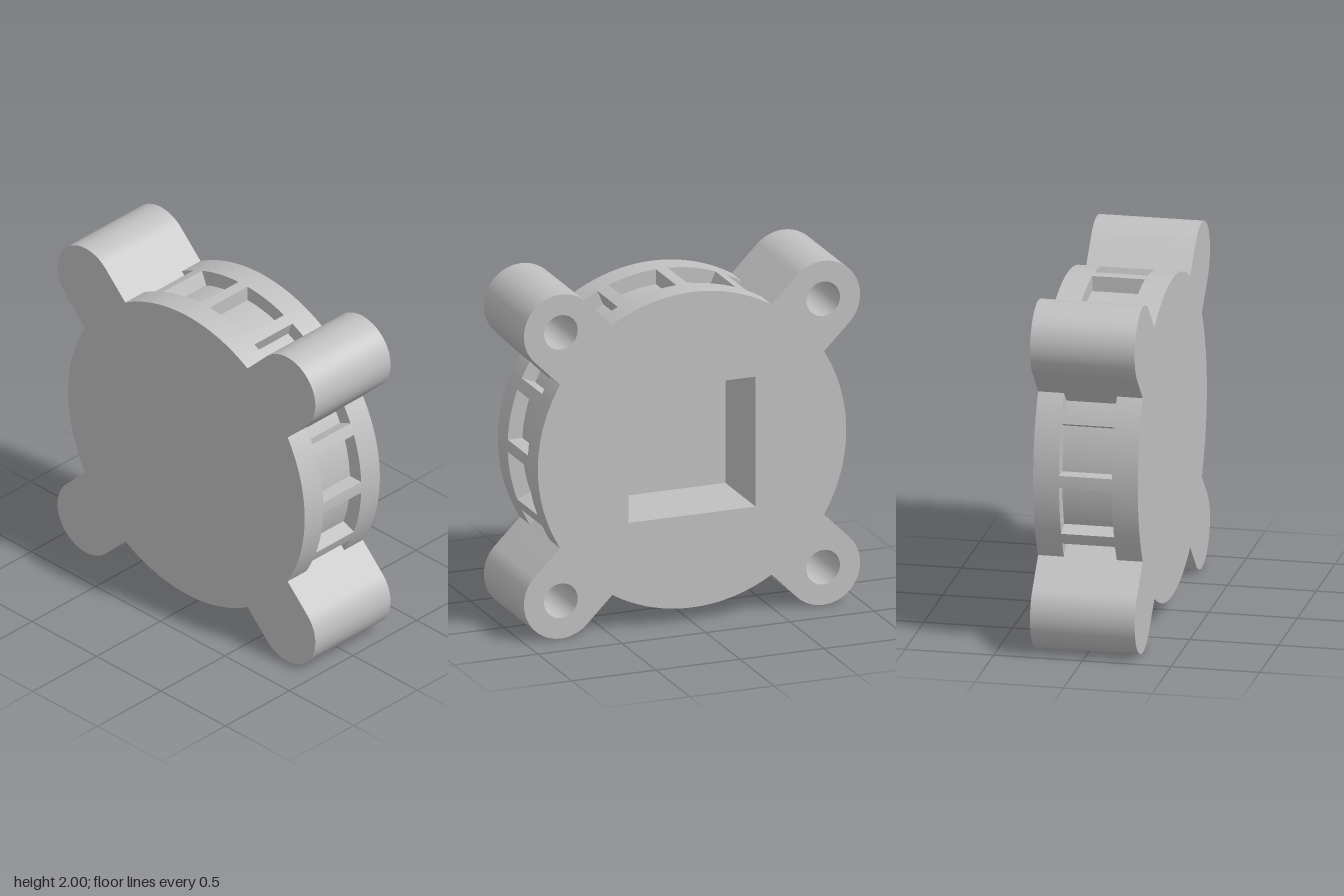
import * as THREE from 'three';
import { toCreasedNormals } from 'three/addons/utils/BufferGeometryUtils.js';

const R = 0.917;      // disc radius
const CORE = 0.83;    // radius of the pocket floors
const W = 0.22;       // arm half width and lobe radius
const LOBE = 0.78;    // lobe centre in x and y
const Z = 0.295;      // half thickness
const ZM = 0.149;     // half thickness of the ribbed middle layer
const HOLE = 0.1;
const POCKET = 0.378; // half side of the square recess

const polar = (r, a) => new THREE.Vector2(r * Math.cos(a), r * Math.sin(a));
function arc(r, a0, a1, n, cx = 0, cy = 0) {
  const pts = [];
  for (let i = 0; i <= n; i++) {
    pts.push(polar(r, a0 + (a1 - a0) * i / n).add(new THREE.Vector2(cx, cy)));
  }
  return pts;
}

// Wall swept along z; counter-clockwise points face outward
function wall(pts, z0, z1) {
  const v = [];
  for (let i = 0; i < pts.length - 1; i++) {
    const a = pts[i], b = pts[i + 1];
    v.push(a.x, a.y, z0, b.x, b.y, z0, b.x, b.y, z1);
    v.push(a.x, a.y, z0, b.x, b.y, z1, a.x, a.y, z1);
  }
  const g = new THREE.BufferGeometry();
  g.setAttribute('position', new THREE.Float32BufferAttribute(v, 3));
  return toCreasedNormals(g, 0.4);
}

// Flat face at height z, facing front or back
function face(pts, z, back = false, holes = []) {
  const shape = new THREE.Shape(pts);
  shape.holes = holes.map((h) => new THREE.Path(h));
  const g = new THREE.ShapeGeometry(shape);
  if (back) g.rotateY(Math.PI);
  return g.translate(0, 0, z);
}

export function createModel() {
  const grey = new THREE.MeshStandardMaterial({ color: 0xc0c0c0 });
  grey.name = 'grey';
  const model = new THREE.Group();
  model.name = 'ribbedHousing';
  const body = new THREE.Group();
  body.name = 'body';
  body.position.y = 1;
  model.add(body);
  const add = (parent, name, geometry) => {
    const m = new THREE.Mesh(geometry, grey);
    m.name = name;
    parent.add(m);
  };

  // Angles where the arm sides meet the disc rim and the core
  const aR = Math.PI / 4 - Math.asin(W / R);
  const aC = Math.PI / 4 - Math.asin(W / CORE);
  const rim = arc(R, -aR, aR, 32);
  const core = arc(CORE, -aC, aC, 32);
  const lobe = arc(W, -Math.PI / 4, Math.PI * 3 / 4, 40, LOBE, LOBE);
  const hole = arc(HOLE, 0, -Math.PI * 2, 40, LOBE, LOBE);
  const ledge = [...rim, ...core.slice().reverse()];

  // One rim side and one arm per quarter turn
  const outline = [], holes = [];
  for (let q = 0; q < 4; q++) {
    const turn = q * Math.PI / 2;
    const quarter = new THREE.Group();
    quarter.name = 'quarter';
    quarter.rotation.z = turn;
    body.add(quarter);

    add(quarter, 'frontRim', wall(rim, ZM, Z));
    add(quarter, 'backRim', wall(rim, -Z, -ZM));
    add(quarter, 'pocketFloor', wall([polar(R, -aR), ...core, polar(R, aR)], -ZM, ZM));
    add(quarter, 'frontLedge', face(ledge, ZM, true));
    add(quarter, 'backLedge', face(ledge, -ZM));
    add(quarter, 'arm', wall([polar(R, aR), ...lobe, polar(R, Math.PI / 2 - aR)], -Z, Z));
    add(quarter, 'screwHole', wall(hole, -Z, ZM));
    add(quarter, 'screwHoleFloor',
      face(arc(HOLE, 0, Math.PI * 2, 40, -LOBE, LOBE), ZM, true));

    // Radial ribs between the pockets
    const half = 0.035, t = Math.asin(half / R);
    for (const k of [-1, 0, 1]) {
      const rib = [new THREE.Vector2(CORE - 0.01, -half), ...arc(R, -t, t, 4),
        new THREE.Vector2(CORE - 0.01, half)];
      const g = wall(rib, -ZM, ZM);
      g.rotateZ(k * Math.PI / 8);
      add(quarter, 'rib', g);
    }

    const spin = (p) => p.clone().rotateAround(new THREE.Vector2(), turn);
    outline.push(...rim.map(spin), ...lobe.map(spin));
    holes.push(hole.slice(0, -1).map(spin));
  }

  // Front and back faces
  const s = POCKET;
  const square = [[-s, -s], [-s, s], [s, s], [s, -s]].map((p) => new THREE.Vector2(...p));
  add(body, 'frontFace', face(outline, Z));
  add(body, 'backFace', face(outline, -Z, true, [...holes, square]));

  // Square recess in the back
  add(body, 'recessWalls', wall([...square, square[0]], -Z, ZM));
  add(body, 'recessFloor', face(square, ZM, true));

  return model;
}
